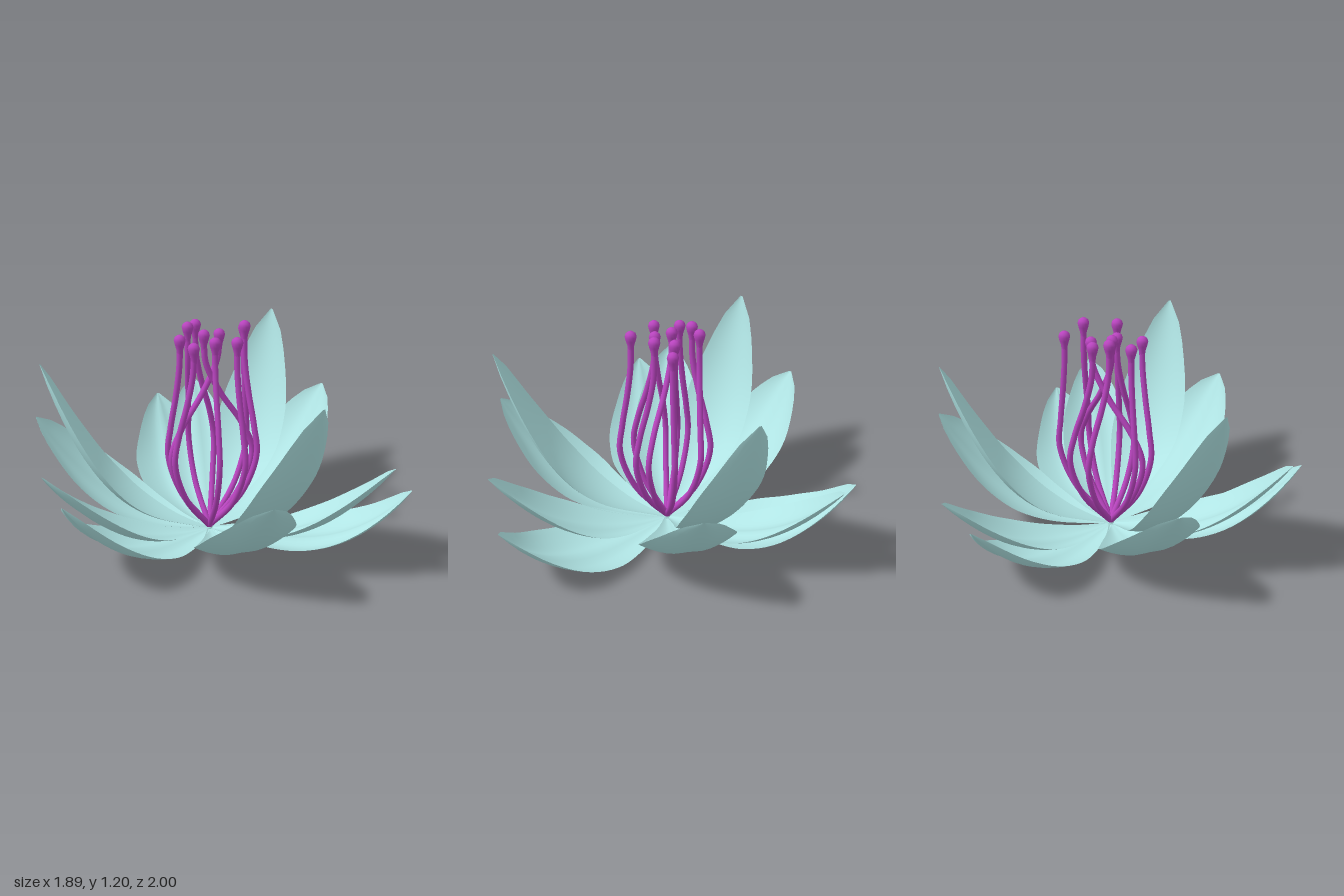
import * as THREE from 'three';

const petalMaterial = new THREE.MeshStandardMaterial({ color: 0xb0e4e4, side: THREE.DoubleSide });
petalMaterial.name = 'pale teal petal';
const stamenMaterial = new THREE.MeshStandardMaterial({ color: 0xb844be });
stamenMaterial.name = 'violet stamen';

// Point where all the petals meet
const origin = new THREE.Vector3(0.015, 0.035, 0.03);

// Half width along a petal, as [position, share of the widest point]
const outline = [[0, 0.04], [0.15, 0.31], [0.3, 0.63], [0.5, 0.95], [0.62, 1], [0.75, 0.93], [0.88, 0.64], [0.96, 0.34], [1, 0.03]];

function widthAt(t) {
  let i = 0;
  while (i < outline.length - 2 && t > outline[i + 1][0]) i++;
  const [t0, w0] = outline[i], [t1, w1] = outline[i + 1];
  // cubic blend with slopes taken from the neighbouring points
  const slope = (k) => {
    const a = outline[Math.max(k - 1, 0)], b = outline[Math.min(k + 1, outline.length - 1)];
    return (b[1] - a[1]) / (b[0] - a[0]);
  };
  const d = t1 - t0, s = (t - t0) / d, s2 = s * s, s3 = s2 * s;
  return (2 * s3 - 3 * s2 + 1) * w0 + (s3 - 2 * s2 + s) * d * slope(i)
    + (3 * s2 - 2 * s3) * w1 + (s3 - s2) * d * slope(i + 1);
}

// A cupped leaf-shaped sheet that sweeps from the origin out and up to its tip.
// tilt leans the whole ring: height gained per unit of x and of z.
function petalGeometry({ tip, height, half, linear, power, cup, rib, sag, shift, tilt }) {
  const tx = tip[0] - origin.x, tz = tip[1] - origin.z;
  const reach = Math.hypot(tx, tz), dx = tx / reach, dz = tz / reach;
  const rise = (t) => height * (linear * t + (1 - linear) * Math.pow(t, power)) - sag * Math.sin(Math.PI * t);
  const rows = 24, cols = 14;
  const position = [], index = [];
  for (let i = 0; i <= rows; i++) {
    const t = i / rows, before = Math.max(t - 0.01, 0), after = Math.min(t + 0.01, 1);
    const slope = (rise(after) - rise(before)) / ((after - before) * reach);
    const len = Math.hypot(1, slope), nr = -slope / len, ny = 1 / len;
    const w = half * Math.max(widthAt(Math.pow(t, shift)), 0);
    for (let j = 0; j <= cols; j++) {
      const v = (j / cols) * 2 - 1;
      const lift = w * (cup * (v * v - 0.25) + rib * Math.exp(-20 * v * v));
      const r = reach * t + nr * lift;
      const x = dx * r + dz * w * v, z = dz * r - dx * w * v;
      position.push(
        origin.x + x,
        origin.y + rise(t) + ny * lift + tilt[0] * x + tilt[1] * z,
        origin.z + z);
    }
  }
  for (let i = 0; i < rows; i++) {
    for (let j = 0; j < cols; j++) {
      const a = i * (cols + 1) + j, b = a + cols + 1;
      index.push(a, a + 1, b, a + 1, b + 1, b);
    }
  }
  const geometry = new THREE.BufferGeometry();
  geometry.setAttribute('position', new THREE.Float32BufferAttribute(position, 3));
  geometry.setIndex(index);
  geometry.computeVertexNormals();
  return geometry;
}

// Four rings of three petals, from the upright inner ones to the flat outer ones; tips are [x, z]
const rings = [
  {
    name: 'innerPetal', height: 0.995, tilt: [0, 0],
    half: 0.2, linear: 0.27, power: 3.4, cup: 0.3, rib: 0, sag: 0, shift: 1.2,
    tips: [[0.3, 0.88], [-0.845, -0.13], [0.605, -0.63]],
  },
  {
    name: 'middlePetal', height: 0.575, tilt: [0, 0],
    half: 0.245, linear: 0.1, power: 2.6, cup: 0.3, rib: 0.04, sag: 0.008, shift: 1,
    tips: [[0.015, 1], [0.855, -0.44], [-0.825, -0.44]],
  },
  {
    name: 'raisedOuterPetal', height: 0.535, tilt: [-0.028, 0.046],
    half: 0.2, linear: 0.1, power: 2.6, cup: 0.3, rib: 0.1, sag: 0.01, shift: 1,
    tips: [[0.775, 0.71], [0.24, -0.985], [-0.945, 0.33]],
  },
  {
    name: 'outerPetal', height: 0.412, tilt: [-0.077, 0.007],
    half: 0.24, linear: 0, power: 3.6, cup: 0.25, rib: 0.1, sag: 0.008, shift: 0.85,
    tips: [[-0.885, 0.51], [0.02, -1], [0.94, 0.59]],
  },
];

// Stamens: [head x, y, z, widest point x, z]
const stamens = [
  [-0.07, 1.16, -0.08, -0.03, -0.2],
  [-0.01, 1.15, -0.14, 0.11, -0.19],
  [0.09, 1.12, -0.04, -0.2, 0.04],
  [0.24, 1.125, -0.08, 0.27, -0.1],
  [-0.14, 1.125, 0.01, -0.2, -0.02],
  [-0.01, 1.14, 0.01, 0.25, 0.05],
  [0.025, 1.12, 0.09, 0.01, 0.22],
  [0.205, 1.175, 0.03, 0.25, 0.12],
  [0.11, 1.145, 0.19, 0.14, 0.25],
  [-0.105, 1.12, 0.14, -0.2, 0.11],
];

function createStamen([hx, hy, hz, bx, bz]) {
  const stamen = new THREE.Group();
  stamen.name = 'stamen';
  const root = new THREE.Vector3(0.015, 0.05, 0.03);
  const head = new THREE.Vector3(hx, hy, hz);
  const belly = new THREE.Vector3(bx, 0.48, bz);
  const path = new THREE.CatmullRomCurve3([
    root,
    root.clone().lerp(belly, 0.68).setY(0.25),
    belly,
    belly.clone().lerp(head, 0.22).setY(0.64),
    belly.clone().lerp(head, 0.66).setY(0.82),
    belly.clone().lerp(head, 0.96).setY(0.99),
    head,
  ]);
  const filament = new THREE.Mesh(new THREE.TubeGeometry(path, 48, 0.016, 10), stamenMaterial);
  filament.name = 'filament';
  // Rounded head narrowing down into the filament
  const profile = [[0.014, -0.08], [0.018, -0.045], [0.026, -0.018], [0.031, 0.004], [0.026, 0.02], [0.014, 0.03], [0, 0.033]];
  const anther = new THREE.Mesh(
    new THREE.LatheGeometry(profile.map(([r, y]) => new THREE.Vector2(r, y)), 16), stamenMaterial);
  anther.name = 'anther';
  anther.position.copy(head);
  stamen.add(filament, anther);
  return stamen;
}

export function createModel() {
  const flower = new THREE.Group();
  flower.name = 'flower';

  for (const { name, tips, ...shape } of rings) {
    for (const tip of tips) {
      const petal = new THREE.Mesh(petalGeometry({ tip, ...shape }), petalMaterial);
      petal.name = name;
      flower.add(petal);
    }
  }

  for (const spec of stamens) flower.add(createStamen(spec));

  // Small knob where everything joins
  const base = new THREE.Mesh(new THREE.SphereGeometry(0.02, 16, 10), petalMaterial);
  base.name = 'base';
  base.position.copy(origin);
  flower.add(base);

  return flower;
}
